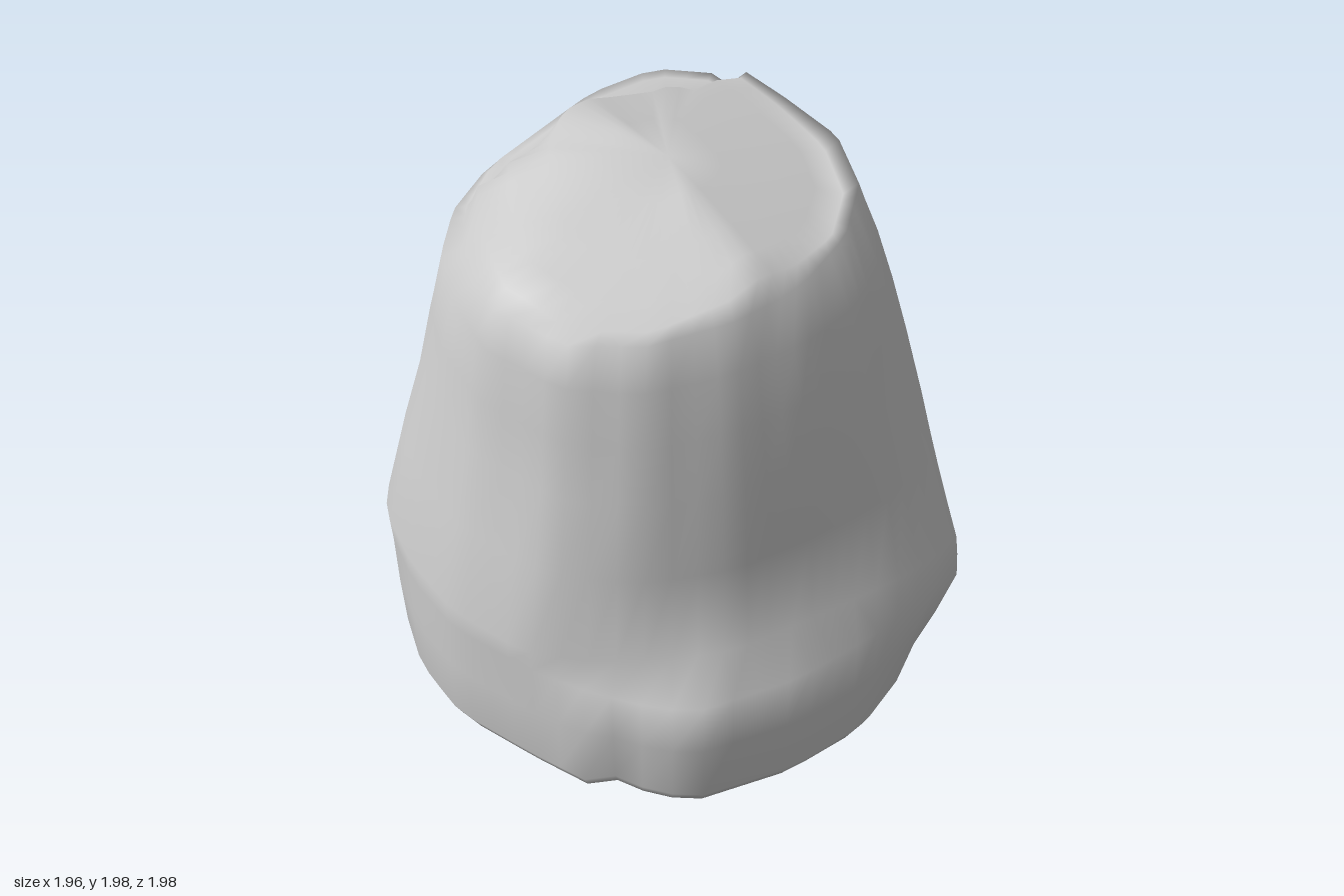
import * as THREE from 'three';

// Horizontal outlines as [x, z] corners, turning from +x toward +z
const floor = [
  [0.88, 0.05], [0.82, 0.3], [0.6, 0.67], [0.38, 0.88], [0.15, 0.98], [-0.17, 1.0], [-0.53, 0.93],
  [-0.64, 0.81], [-0.68, 0.7], [-0.79, 0.65], [-0.87, 0.44], [-0.97, 0.13], [-0.96, -0.15],
  [-0.87, -0.42], [-0.7, -0.62], [-0.3, -0.86], [0.2, -0.94], [0.52, -0.88], [0.71, -0.7], [0.85, -0.33],
];
const lip = [
  [0.96, 0.11], [0.85, 0.45], [0.63, 0.89], [0.4, 0.93], [0.15, 0.98], [-0.17, 1.0], [-0.53, 0.94],
  [-0.64, 0.84], [-0.7, 0.76], [-0.79, 0.63], [-0.88, 0.45], [-0.98, 0.13], [-0.97, -0.15],
  [-0.9, -0.43], [-0.76, -0.62], [-0.35, -0.87], [0.3, -0.97], [0.55, -0.95], [0.76, -0.77], [0.91, -0.3],
];
const belly = [
  [0.98, 0.11], [0.86, 0.45], [0.65, 0.83], [0.38, 0.87], [0, 0.86], [-0.3, 0.84], [-0.55, 0.74], [-0.75, 0.6],
  [-0.89, 0.45], [-0.98, 0.13], [-0.97, -0.15], [-0.91, -0.43], [-0.78, -0.62], [-0.42, -0.83],
  [-0.2, -0.93], [0.33, -0.99], [0.55, -0.97], [0.78, -0.79],
];
const chest = [
  [0.82, 0.05], [0.75, 0.36], [0.58, 0.6], [0.3, 0.76], [0, 0.8], [-0.3, 0.78], [-0.57, 0.68], [-0.76, 0.48], [-0.86, 0.14],
  [-0.84, -0.15], [-0.74, -0.42], [-0.55, -0.6], [-0.25, -0.78], [0.1, -0.83], [0.4, -0.85], [0.68, -0.77], [0.79, -0.4],
];
const crown = [
  [0.62, 0.1], [0.52, 0.35], [0.33, 0.53], [0.1, 0.62], [-0.2, 0.65], [-0.5, 0.6], [-0.7, 0.45], [-0.78, 0.15],
  [-0.7, -0.1], [-0.6, -0.33], [-0.45, -0.55], [-0.25, -0.7], [0.1, -0.73], [0.45, -0.74], [0.6, -0.6], [0.62, -0.2],
];
const COLS = 64;

// Distance from the middle to an outline in direction a
function radius(outline, a) {
  const c = Math.cos(a), s = Math.sin(a);
  for (let i = 0; i < outline.length; i++) {
    const [x1, z1] = outline[i], [x2, z2] = outline[(i + 1) % outline.length];
    const d1 = c * z1 - s * x1, d2 = c * z2 - s * x2;
    if (d1 <= 0 && d2 > 0) {
      const t = d1 / (d1 - d2);
      return Math.hypot(x1 + (x2 - x1) * t, z1 + (z2 - z1) * t);
    }
  }
}

// Rising top that drops to a ledge along the back and slopes off at the back corner
const cornerDrop = (x, z) => 0.3 * Math.max(0, -x - z - 0.55);
function topHeight(x, z) {
  let h = 2.0 - 0.2 * Math.abs(x + 0.05);
  h -= z > -0.4 ? 0.16 * (z + 0.4) ** 2 : 1.4 * (-0.4 - z);
  return Math.max(1.78, h) - cornerDrop(x, z);
}
const crownRim = (x, z) => 1.77 + (z > -0.45 ? 0.16 * Math.max(0, x) : 0) - cornerDrop(x, z);

// Nearly flat underside with one low point, lifting toward the back corner
const underside = (x, z) => 0.035 - 0.035 * Math.max(0, 1 - Math.hypot(x - 0.38, z - 0.14) / 0.5)
  + 0.05 * Math.max(0, -z);
const lowerRim = (x, z) => 0.09 + 0.05 * Math.max(0, x) + 0.05 * Math.max(0, -z)
  + 0.22 * Math.max(0, x) * Math.max(0, -z);

// Rings from the middle of the underside to the middle of the top:
// lower outline, upper outline, blend, scale, height rule
const rings = [
  [floor, floor, 0, 0, underside],
  [floor, floor, 0, 0.35, underside],
  [floor, floor, 0, 0.7, underside],
  [floor, floor, 0, 0.965, underside],
  [floor, floor, 0, 1, lowerRim],
  [floor, lip, 0.6, 1, () => 0.3],
  [lip, lip, 0, 1, () => 0.5],
  [belly, belly, 0, 1, () => 0.58],
  [belly, chest, 0.5, 1, () => 0.91],
  [belly, chest, 1, 1, () => 1.2],
  [chest, crown, 0.28, 1, () => 1.42],
  [chest, crown, 0.57, 1, () => 1.62],
  [crown, crown, 0, 1, crownRim],
  [crown, crown, 0, 0.92, topHeight],
  [crown, crown, 0, 0.77, topHeight],
  [crown, crown, 0, 0.57, topHeight],
  [crown, crown, 0, 0.28, topHeight],
  [crown, crown, 0, 0, topHeight],
];

// Slanting groove down the upper back
function groove(a, y) {
  if (y < 1.1 || y > 1.65) return 0;
  const centre = THREE.MathUtils.degToRad(270 + 45 * (y - 1.2));
  return 0.05 * Math.exp(-(((a - centre) / 0.25) ** 2));
}

export function createModel() {
  const positions = [], index = [];
  const last = rings.length - 1;

  for (const [low, high, blend, scale, height] of rings) {
    for (let j = 0; j < COLS; j++) {
      const a = j / COLS * Math.PI * 2;
      let r = THREE.MathUtils.lerp(radius(low, a), radius(high, a), blend) * scale;
      const y = height(r * Math.cos(a), r * Math.sin(a));
      r -= groove(a, y);
      positions.push(r * Math.cos(a), y, r * Math.sin(a));
    }
  }

  // Skin between neighbouring rings, with single triangles at both poles
  for (let i = 0; i < last; i++) {
    for (let j = 0; j < COLS; j++) {
      const a = i * COLS + j, b = i * COLS + (j + 1) % COLS;
      const c = a + COLS, d = b + COLS;
      if (i > 0) index.push(a, c, b);
      if (i < last - 1) index.push(b, c, d);
    }
  }

  const geometry = new THREE.BufferGeometry();
  geometry.setAttribute('position', new THREE.Float32BufferAttribute(positions, 3));
  geometry.setIndex(index);
  geometry.computeVertexNormals();

  // The coincident points at both poles share a vertical normal
  const normal = geometry.attributes.normal;
  for (let j = 0; j < COLS; j++) {
    normal.setXYZ(j, 0, -1, 0);
    normal.setXYZ(last * COLS + j, 0, 1, 0);
  }

  const boulder = new THREE.Mesh(geometry, new THREE.MeshStandardMaterial({ color: 0xcccccc }));
  boulder.name = 'boulder';
  const group = new THREE.Group();
  group.name = 'rock';
  group.add(boulder);
  return group;
}
